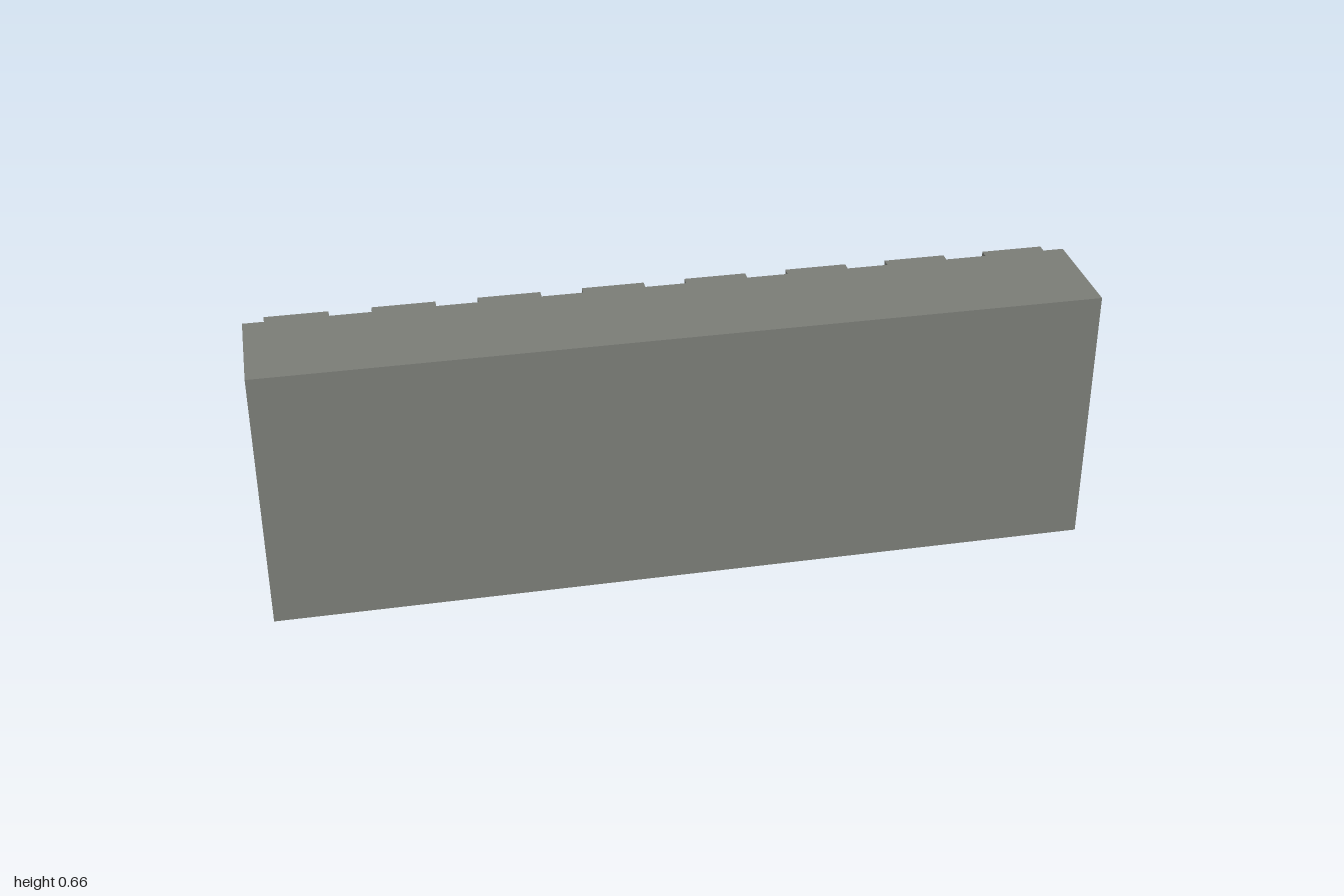
import * as THREE from 'three';

export function createModel() {
  const group = new THREE.Group();
  group.name = 'ribbedWallBlock';
  const stone = new THREE.MeshStandardMaterial({ color: 0x7a7c76 });
  stone.name = 'grey stone';

  const height = 0.66, front = 0.145, recess = 0.122, ribFace = 0.145;
  const ribs = 8, pitch = 0.25, ribWidth = 0.15;

  // Plan outline (shape y points to the back), with raised ribs along the back
  const plan = new THREE.Shape();
  plan.moveTo(-1, -front);
  plan.lineTo(1, -front);
  plan.lineTo(1, recess);
  for (let i = ribs - 1; i >= 0; i--) {
    const left = -0.95 + i * pitch, right = left + ribWidth;
    plan.lineTo(right, recess);
    plan.lineTo(right, ribFace);
    plan.lineTo(left, ribFace);
    plan.lineTo(left, recess);
  }
  plan.lineTo(-1, recess);
  plan.closePath();

  // Extrude upward into the solid block
  const geometry = new THREE.ExtrudeGeometry(plan, { depth: height, bevelEnabled: false });
  geometry.rotateX(-Math.PI / 2);
  const wall = new THREE.Mesh(geometry, stone);
  wall.name = 'ribbedWall';
  group.add(wall);
  return group;
}
